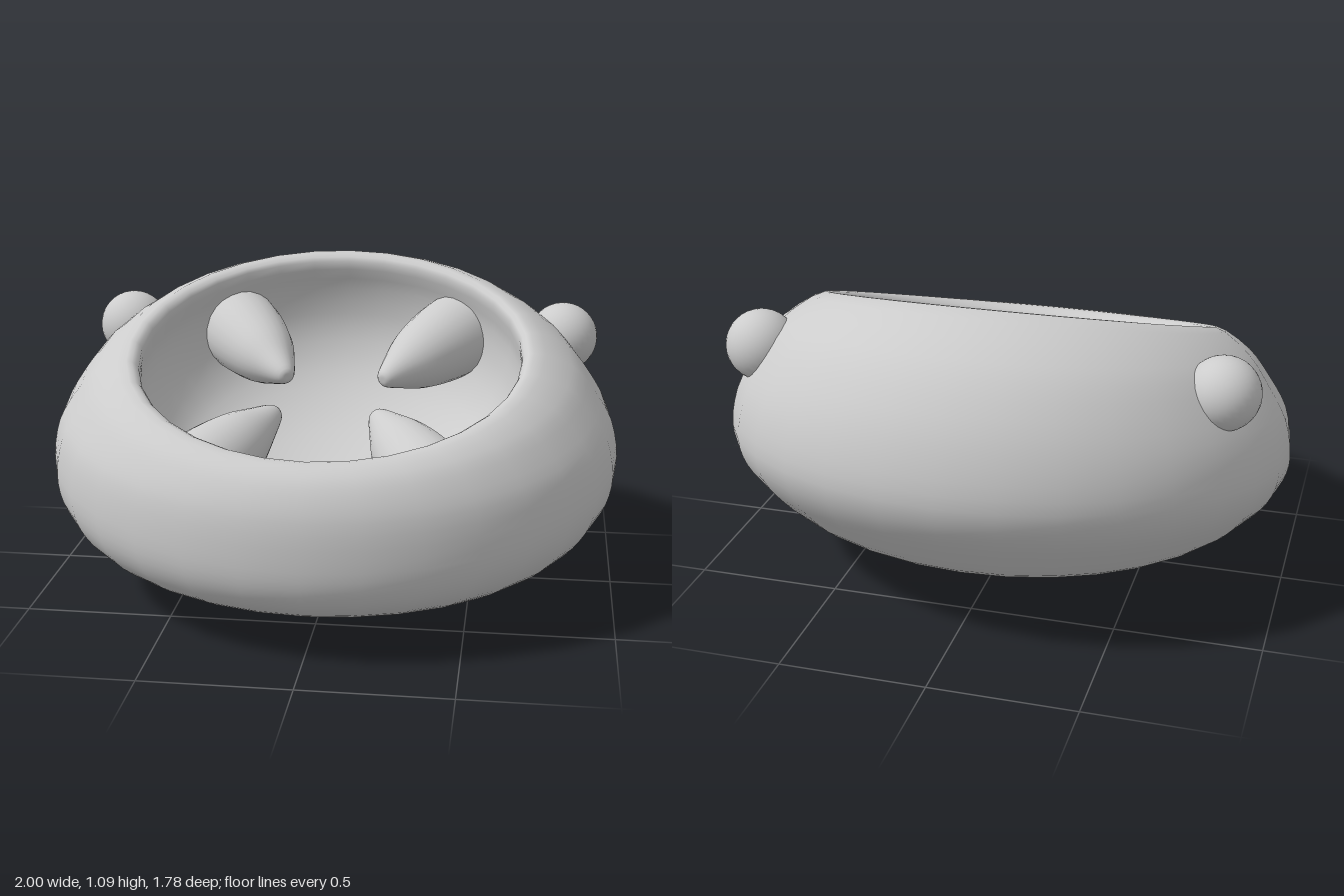
import * as THREE from 'three';

const SIDES = 32;

// Bowl sections, bottom pole -> rim -> inside floor:
// [front z, front y, back z, back y, half width]
const SECTIONS = [
  [0.13, 0.002, 0.13, 0.002, 0],
  [0.30, 0.008, -0.05, 0.012, 0.20],
  [0.50, 0.048, -0.27, 0.055, 0.45],
  [0.67, 0.103, -0.50, 0.145, 0.69],
  [0.79, 0.16, -0.67, 0.245, 0.83],
  [0.85, 0.21, -0.78, 0.36, 0.92],
  [0.882, 0.28, -0.86, 0.475, 0.98],
  [0.89, 0.375, -0.89, 0.58, 1.00],
  [0.88, 0.50, -0.87, 0.72, 0.975],
  [0.85, 0.58, -0.81, 0.86, 0.91],
  [0.81, 0.63, -0.69, 1.00, 0.83],
  [0.75, 0.657, -0.48, 1.093, 0.70],
  [0.695, 0.635, -0.435, 1.06, 0.66],
  [0.655, 0.525, -0.475, 0.95, 0.665],
  [0.57, 0.395, -0.495, 0.795, 0.62],
  [0.435, 0.31, -0.445, 0.64, 0.52],
  [0.245, 0.285, -0.32, 0.495, 0.33],
  [0.06, 0.31, -0.165, 0.395, 0.13],
  [-0.05, 0.348, -0.05, 0.348, 0],
];

// Lofts tilted elliptical rings through the smoothed sections
function bowlGeometry() {
  const curve = (f) => new THREE.CatmullRomCurve3(SECTIONS.map(f));
  const front = curve((s) => new THREE.Vector3(0, s[1], s[0]));
  const back = curve((s) => new THREE.Vector3(0, s[3], s[2]));
  const width = curve((s, i) => new THREE.Vector3(s[4], i * 0.1, 0));
  const rows = (SECTIONS.length - 1) * 3;
  const positions = [];
  const index = [];
  for (let j = 0; j <= rows; j++) {
    const t = j / rows;
    const f = front.getPoint(t);
    const b = back.getPoint(t);
    const w = Math.max(0, width.getPoint(t).x);
    for (let i = 0; i < SIDES; i++) {
      const a = (i / SIDES) * Math.PI * 2;
      const k = (1 + Math.cos(a)) / 2;
      const p = b.clone().lerp(f, k);
      positions.push(w * Math.sin(a), Math.max(0, p.y), p.z);
      if (j === rows) continue;
      const n = (i + 1) % SIDES;
      const r0 = j * SIDES;
      const r1 = r0 + SIDES;
      if (j > 0) index.push(r0 + i, r0 + n, r1 + n);
      if (j < rows - 1) index.push(r0 + i, r1 + n, r1 + i);
    }
  }
  const g = new THREE.BufferGeometry();
  g.setAttribute('position', new THREE.Float32BufferAttribute(positions, 3));
  g.setIndex(index);
  g.computeVertexNormals();
  return g;
}

// Blunt spike growing from its tip along +y
function spikeGeometry(length) {
  const profile = new THREE.SplineCurve([
    [0, 0], [0.03, 0.01], [0.068, 0.09], [0.112, 0.2], [0.143, 0.35], [0.153, length],
  ].map(([r, y]) => new THREE.Vector2(r, y)));
  return new THREE.LatheGeometry(profile.getPoints(20), 24);
}

export function createModel() {
  const group = new THREE.Group();
  const grey = new THREE.MeshStandardMaterial({ color: 0xcccccc });
  grey.name = 'lightGrey';

  const add = (name, geometry) => {
    const mesh = new THREE.Mesh(geometry, grey);
    mesh.name = name;
    group.add(mesh);
    return mesh;
  };

  add('bowl', bowlGeometry());

  const up = new THREE.Vector3(0, 1, 0);
  for (const side of [1, -1]) {
    const label = side > 0 ? 'left' : 'right';

    // Spikes pointing inward from the inner wall: name, tip, direction, length
    for (const [name, tip, dir, length] of [
      ['BackSpike', [0.17, 0.722, -0.01], [0.2, 0.07, -0.31], 0.5],
      ['FrontSpike', [0.17, 0.665, 0.22], [0.21, -0.14, 0.305], 0.5],
    ]) {
      const spike = add(label + name, spikeGeometry(length));
      spike.position.set(side * tip[0], tip[1], tip[2]);
      const d = new THREE.Vector3(side * dir[0], dir[1], dir[2]).normalize();
      spike.quaternion.setFromUnitVectors(up, d);
    }

    // Round knob on the outside
    const knob = add(label + 'Knob', new THREE.SphereGeometry(0.124, 32, 20));
    knob.position.set(side * 0.8, 0.825, -0.32);
  }
  return group;
}
